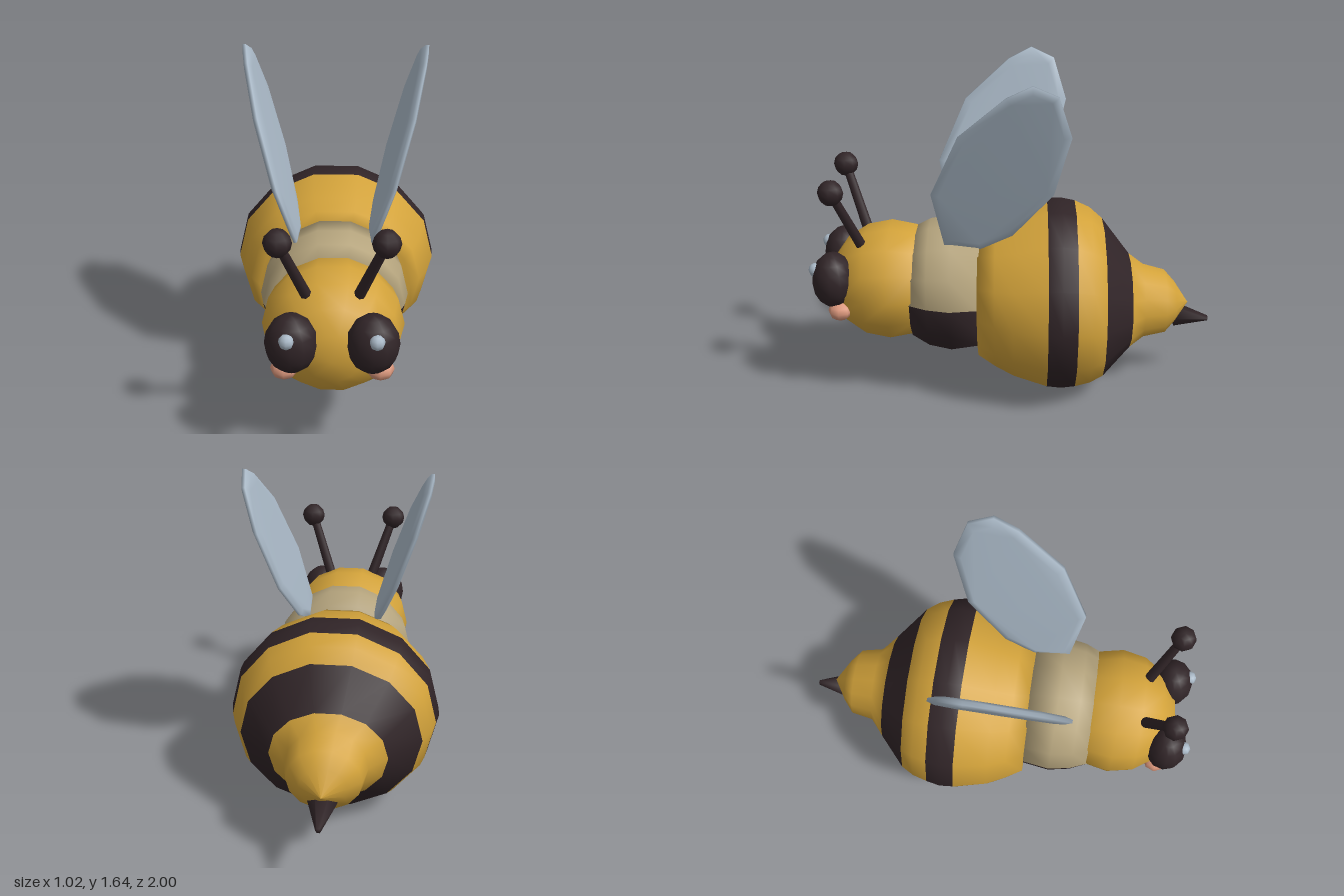
import * as THREE from 'three';
import { mergeVertices } from 'three/addons/utils/BufferGeometryUtils.js';

const material = (name, color) => {
  const m = new THREE.MeshStandardMaterial({ color });
  m.name = name;
  return m;
};

// Loft of ellipses [z, centreY, radiusX, radiusY] from front to back;
// pick(ring, segment) gives the material slot of each face.
function loft(rings, segs, pick = () => 0) {
  const pos = [], slots = [];
  for (const [z, cy, rx, ry] of rings) {
    for (let j = 0; j < segs; j++) {
      const a = (j / segs) * Math.PI * 2;
      pos.push(rx * Math.cos(a), cy + ry * Math.sin(a), z);
    }
  }
  for (let i = 0; i < rings.length - 1; i++) {
    for (let j = 0; j < segs; j++) {
      const k = (j + 1) % segs;
      const a = i * segs + j, b = i * segs + k, c = a + segs, d = b + segs;
      const list = (slots[pick(i, j)] ??= []);
      if (rings[i][2] > 0) list.push(a, c, b);
      if (rings[i + 1][2] > 0) list.push(b, c, d);
      if (rings[i][2] === 0) list.push(a, c, d);
    }
  }
  const geo = new THREE.BufferGeometry();
  geo.setAttribute('position', new THREE.Float32BufferAttribute(pos, 3));
  geo.setIndex(slots.flat());
  let start = 0;
  slots.forEach((list, s) => {
    geo.addGroup(start, list.length, s);
    start += list.length;
  });
  geo.computeVertexNormals();
  return geo;
}

// Thin bevelled blade leaning outward to the given side
function wingGeometry(side) {
  const outline = [
    [0.335, 0.805], [0.385, 1.09], [0.25, 1.39], [0.03, 1.583], [-0.085, 1.64],
    [-0.2, 1.588], [-0.262, 1.39], [-0.187, 1.09], [0.005, 0.86], [0.16, 0.78],
  ];
  const shape = new THREE.Shape(outline.map(([z, y]) => new THREE.Vector2(-z, y)));
  let geo = new THREE.ExtrudeGeometry(shape, {
    depth: 0.016, bevelEnabled: true, bevelThickness: 0.012,
    bevelSize: 0.035, bevelOffset: -0.035, bevelSegments: 1,
  });
  geo.translate(0, 0, -0.008);
  const p = geo.attributes.position;
  for (let i = 0; i < p.count; i++) {
    const u = p.getX(i), y = p.getY(i), w = p.getZ(i);
    p.setXYZ(i, side * (0.18 + 0.3 * (y - 0.8)) + w, y, -u);
  }
  geo.deleteAttribute('normal');
  geo.deleteAttribute('uv');
  geo = mergeVertices(geo, 1e-4);
  geo.computeVertexNormals();
  return geo;
}

export function createModel() {
  const model = new THREE.Group();
  model.name = 'bee';
  const yellow = material('honeyYellow', 0xd2a23a);
  const dark = material('darkBrown', 0x302427);
  const tan = material('tanFur', 0xb6a57e);
  const blue = material('paleBlue', 0xa9b8c6);
  const pink = material('cheekPink', 0xdb977c);

  const add = (name, geo, mat) => {
    const mesh = new THREE.Mesh(geo, mat);
    mesh.name = name;
    model.add(mesh);
    return mesh;
  };
  const ball = (name, mat, x, y, z, rx, ry = rx, rz = rx, w = 8, h = 6) => {
    const mesh = add(name, new THREE.SphereGeometry(1, w, h), mat);
    mesh.position.set(x, y, z);
    mesh.scale.set(rx, ry, rz);
    return mesh;
  };

  // Striped abdomen with a narrow tail
  const abdomen = [
    [0.176, 0.49, 0, 0], [0.175, 0.49, 0.375, 0.335], [0.09, 0.48, 0.425, 0.38],
    [0, 0.473, 0.468, 0.42], [-0.165, 0.472, 0.507, 0.477], [-0.235, 0.47, 0.512, 0.482],
    [-0.305, 0.466, 0.497, 0.472], [-0.38, 0.458, 0.474, 0.445], [-0.445, 0.447, 0.435, 0.398],
    [-0.583, 0.43, 0.28, 0.234], [-0.655, 0.424, 0.195, 0.188], [-0.765, 0.422, 0.175, 0.16],
    [-0.82, 0.42, 0.11, 0.1], [-0.89, 0.413, 0, 0],
  ];
  const striped = new Set([4, 5, 8]);
  add('abdomen', loft(abdomen, 14, (i) => (striped.has(i) ? 1 : 0)), [yellow, dark]);

  // Thorax, tan above and dark below
  const thorax = [
    [0.51, 0.53, 0, 0], [0.505, 0.53, 0.3, 0.275], [0.42, 0.525, 0.335, 0.325],
    [0.31, 0.522, 0.355, 0.345], [0.17, 0.522, 0.335, 0.325], [0.1, 0.522, 0, 0],
  ];
  add('thorax', loft(thorax, 14, (i, j) => (j < 7 ? 0 : 1)), [tan, dark]);

  // Head, with its rings around the z axis
  const head = ball('head', yellow, 0, 0.543, 0.615, 0.325, 0.3, 0.315, 14, 8);
  head.geometry.rotateX(Math.PI / 2);

  // Stinger
  add('stinger', loft([
    [-0.81, 0.348, 0, 0], [-0.82, 0.348, 0.07, 0.062],
    [-0.998, 0.322, 0.013, 0.013], [-1, 0.322, 0, 0],
  ], 6), dark);

  for (const s of [1, -1]) {
    const side = s > 0 ? 'left' : 'right';
    // Face
    ball(side + 'Eye', dark, s * 0.175, 0.613, 0.885, 0.117, 0.14, 0.104, 12, 8);
    ball(side + 'EyeHighlight', blue, s * 0.19, 0.67, 0.965, 0.035);
    ball(side + 'Cheek', pink, s * 0.21, 0.462, 0.853, 0.062, 0.048, 0.06);

    // Antenna stalk and knob
    const base = new THREE.Vector3(s * 0.115, 0.77, 0.748);
    const tip = new THREE.Vector3(s * 0.225, 1.08, 0.86);
    const dir = tip.clone().sub(base);
    const stalk = add(side + 'Antenna', new THREE.CylinderGeometry(0.022, 0.027, dir.length(), 8), dark);
    stalk.position.copy(base).lerp(tip, 0.5);
    stalk.quaternion.setFromUnitVectors(new THREE.Vector3(0, 1, 0), dir.normalize());
    ball(side + 'AntennaKnob', dark, tip.x, tip.y, tip.z, 0.062);

    add(side + 'Wing', wingGeometry(s), blue);
  }
  return model;
}
